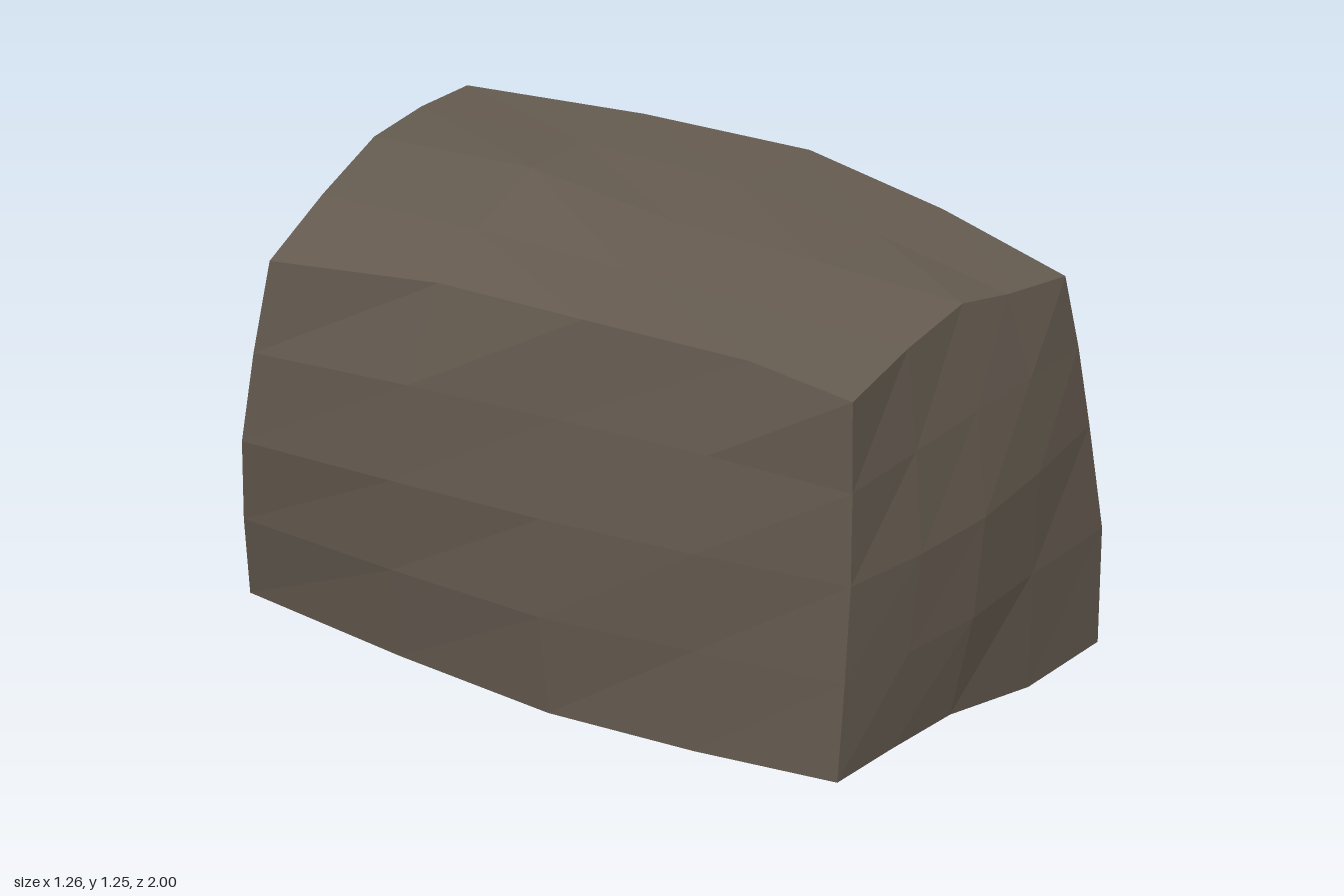
import * as THREE from 'three';

// Control points [x, y, z], three per row running right side, middle, left side.
// Rows run front to back; layers run bottom to top.
const LATTICE = [
  [ // bottom
    [[-0.56, 0.06, 0.92], [-0.07, 0.083, 0.935], [0.62, 0.04, 0.92]],
    [[-0.575, 0.03, 0], [-0.02, 0.012, -0.02], [0.61, 0.05, 0]],
    [[-0.52, 0.10, -1.0], [0.04, 0.06, -0.96], [0.61, 0.10, -0.955]],
  ],
  [ // middle
    [[-0.555, 0.63, 0.96], [0, 0.64, 1.0], [0.555, 0.69, 0.94]],
    [[-0.615, 0.6, 0], [0, 0.63, 0], [0.628, 0.66, 0]],
    [[-0.635, 0.59, -0.945], [0, 0.65, -0.94], [0.56, 0.66, -0.945]],
  ],
  [ // top
    [[-0.56, 1.165, 0.97], [0.03, 1.22, 0.905], [0.46, 1.15, 0.93]],
    [[-0.56, 1.18, 0.1], [0, 1.235, 0], [0.61, 1.22, 0]],
    [[-0.615, 1.12, -0.87], [0, 1.23, -0.97], [0.45, 1.21, -0.99]],
  ],
];

// Small dents and bumps: grid place (x, y, z from -1 to 1), then the offset
const NUDGES = [
  [0, 1, -0.5, 0.03, 0.027, 0],
  [-1, 1, 0.5, 0.035, 0, 0.07],
  [-1, 1, -0.5, 0.045, 0, 0],
  [-0.5, -1, 0, 0, -0.018, 0],
  [0.5, -1, 1, 0.03, -0.035, 0],
  [1, -0.5, 1, 0.02, 0, 0.01],
  [0.5, 1, 1, -0.03, -0.015, 0],
  [1, -0.5, 0.5, 0.012, 0, 0],
];

// Interpolation weights halfway between straight and smooth
function weights(t) {
  const quad = [t * (t - 1) / 2, 1 - t * t, t * (t + 1) / 2];
  const line = [Math.max(-t, 0), 1 - Math.abs(t), Math.max(t, 0)];
  return quad.map((q, i) => (q + line[i]) / 2);
}

// Repeatable roughness for a grid place
function rough(x, y, z, k) {
  const s = Math.sin(x * 127.1 + y * 311.7 + z * 74.7 + k * 51.3) * 43758.5453;
  return (s - Math.floor(s) - 0.5) * 0.014;
}

function place(x, y, z) {
  const wx = weights(x), wy = weights(y), wz = weights(-z);
  const p = [0, 0, 0];
  LATTICE.forEach((layer, j) => layer.forEach((row, k) => row.forEach((c, i) => {
    for (let a = 0; a < 3; a++) p[a] += wx[i] * wy[j] * wz[k] * c[a];
  })));
  for (const [nx, ny, nz, ...d] of NUDGES) {
    if (nx === x && ny === y && nz === z) d.forEach((v, a) => { p[a] += v; });
  }
  // roughen only inside a face, along its normal
  const onFace = [x, y, z].map((v) => Math.abs(v) === 1);
  if (onFace.filter(Boolean).length === 1) {
    const a = onFace.indexOf(true);
    p[a] += rough(x, y, z, a);
  }
  return p;
}

export function createModel() {
  const stone = new THREE.MeshStandardMaterial({ color: 0x655b50 });
  stone.name = 'brownStone';
  stone.flatShading = true;

  // Rough hewn block: a divided box bent onto the control points
  const box = new THREE.BoxGeometry(2, 2, 2, 4, 4, 4);
  const pos = box.attributes.position;
  const snap = (v) => Math.round(v * 2) / 2;
  for (let i = 0; i < pos.count; i++) {
    pos.setXYZ(i, ...place(snap(pos.getX(i)), snap(pos.getY(i)), snap(pos.getZ(i))));
  }
  const geometry = box.toNonIndexed();
  geometry.computeBoundingBox();
  geometry.translate(0, -geometry.boundingBox.min.y, 0);
  geometry.computeVertexNormals();

  const block = new THREE.Mesh(geometry, stone);
  block.name = 'stoneBlock';
  const group = new THREE.Group();
  group.name = 'rock';
  group.add(block);
  return group;
}
